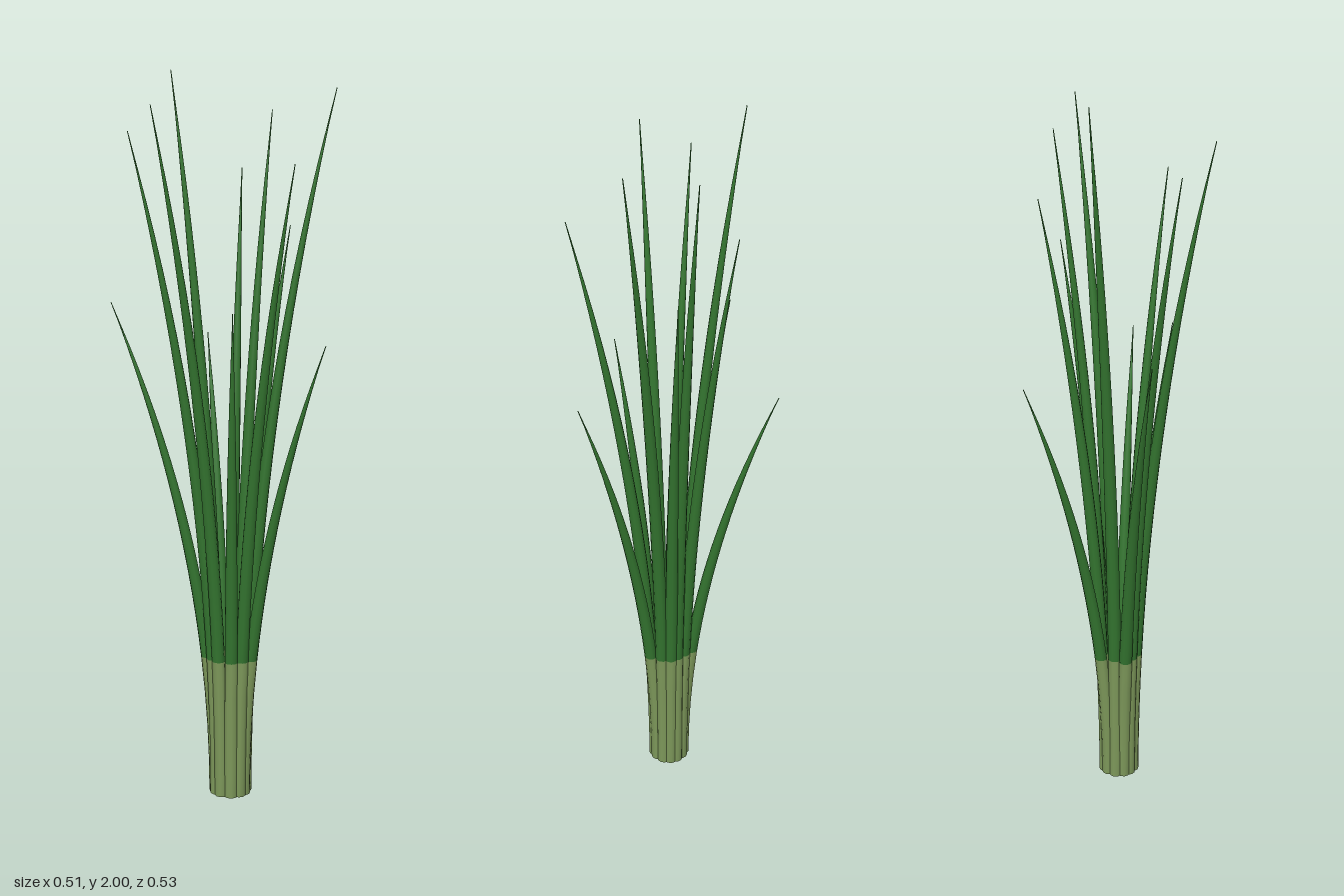
import * as THREE from 'three';

const SIDES = 10;
const CENTRE = 0.01;      // the stalk stands slightly off the origin in x and z
const RING = 0.042;       // distance of the blade roots from the stalk centre
const SHEATH_TOP = 0.4;   // pale lower part ends here

// Tip of each blade: x, height, z, going round the clump
const TIPS = [
  [0.202, 1.59, 0.01], [0.253, 1.95, 0.143], [0.144, 1.295, 0.257],
  [0.036, 1.76, 0.264], [-0.07, 1.38, 0.142], [-0.255, 1.905, 0.05],
  [-0.247, 1.84, -0.082], [-0.243, 1.39, -0.192], [-0.052, 2.0, -0.19],
  [0.11, 1.275, -0.265], [0.147, 1.74, -0.145], [0.177, 1.895, -0.043],
];

// Loft oval cross-sections of one blade between two heights
function bladeSection(root, tip, y0, y1, steps, capBottom) {
  const pos = [], index = [];
  const dir = Math.atan2(tip[2] - CENTRE, tip[0] - CENTRE);
  const c = Math.cos(dir), s = Math.sin(dir);
  for (let i = 0; i <= steps; i++) {
    const y = y0 + (y1 - y0) * i / steps;
    const t = y / tip[1];
    const bend = t * t;                                   // leans out towards the tip
    const size = Math.max(1 - Math.pow(t, 2.8), 0.06);    // tapers to a fine tip
    const cx = root[0] + (tip[0] - root[0]) * bend;
    const cz = root[1] + (tip[2] - root[1]) * bend;
    for (let j = 0; j < SIDES; j++) {
      const a = j / SIDES * Math.PI * 2;
      const out = Math.cos(a) * 0.018 * size;
      const side = Math.sin(a) * 0.019 * size;
      pos.push(cx + out * c - side * s, y, cz + out * s + side * c);
    }
  }
  for (let i = 0; i < steps; i++) {
    for (let j = 0; j < SIDES; j++) {
      const k = (j + 1) % SIDES;
      const a = i * SIDES + j, b = i * SIDES + k;
      index.push(a, a + SIDES, b, b, a + SIDES, b + SIDES);
    }
  }
  // Flat underside with its own vertices, so its edge stays sharp
  if (capBottom) {
    const first = pos.length / 3;
    pos.push(...pos.slice(0, SIDES * 3));
    for (let j = 1; j < SIDES - 1; j++) index.push(first, first + j, first + j + 1);
  }
  const geo = new THREE.BufferGeometry();
  geo.setAttribute('position', new THREE.Float32BufferAttribute(pos, 3));
  geo.setIndex(index);
  geo.computeVertexNormals();
  return geo;
}

export function createModel() {
  const leafGreen = new THREE.MeshStandardMaterial({ color: 0x33742f });
  leafGreen.name = 'leafGreen';
  const paleGreen = new THREE.MeshStandardMaterial({ color: 0x7d985a });
  paleGreen.name = 'paleGreen';

  const model = new THREE.Group();
  model.name = 'grassClump';

  TIPS.forEach((tip, i) => {
    // Root angle: halfway between even spacing and the blade's own direction
    const even = i / TIPS.length * Math.PI * 2;
    const own = Math.atan2(tip[2] - CENTRE, tip[0] - CENTRE);
    const angle = even + Math.atan2(Math.sin(own - even), Math.cos(own - even)) / 2;
    const root = [CENTRE + RING * Math.cos(angle), CENTRE + RING * Math.sin(angle)];

    const blade = new THREE.Group();
    blade.name = `blade${i + 1}`;
    const sheath = new THREE.Mesh(bladeSection(root, tip, 0, SHEATH_TOP, 4, true), paleGreen);
    sheath.name = 'sheath';
    const leaf = new THREE.Mesh(bladeSection(root, tip, SHEATH_TOP, tip[1], 16, false), leafGreen);
    leaf.name = 'leaf';
    blade.add(sheath, leaf);
    model.add(blade);
  });
  return model;
}
